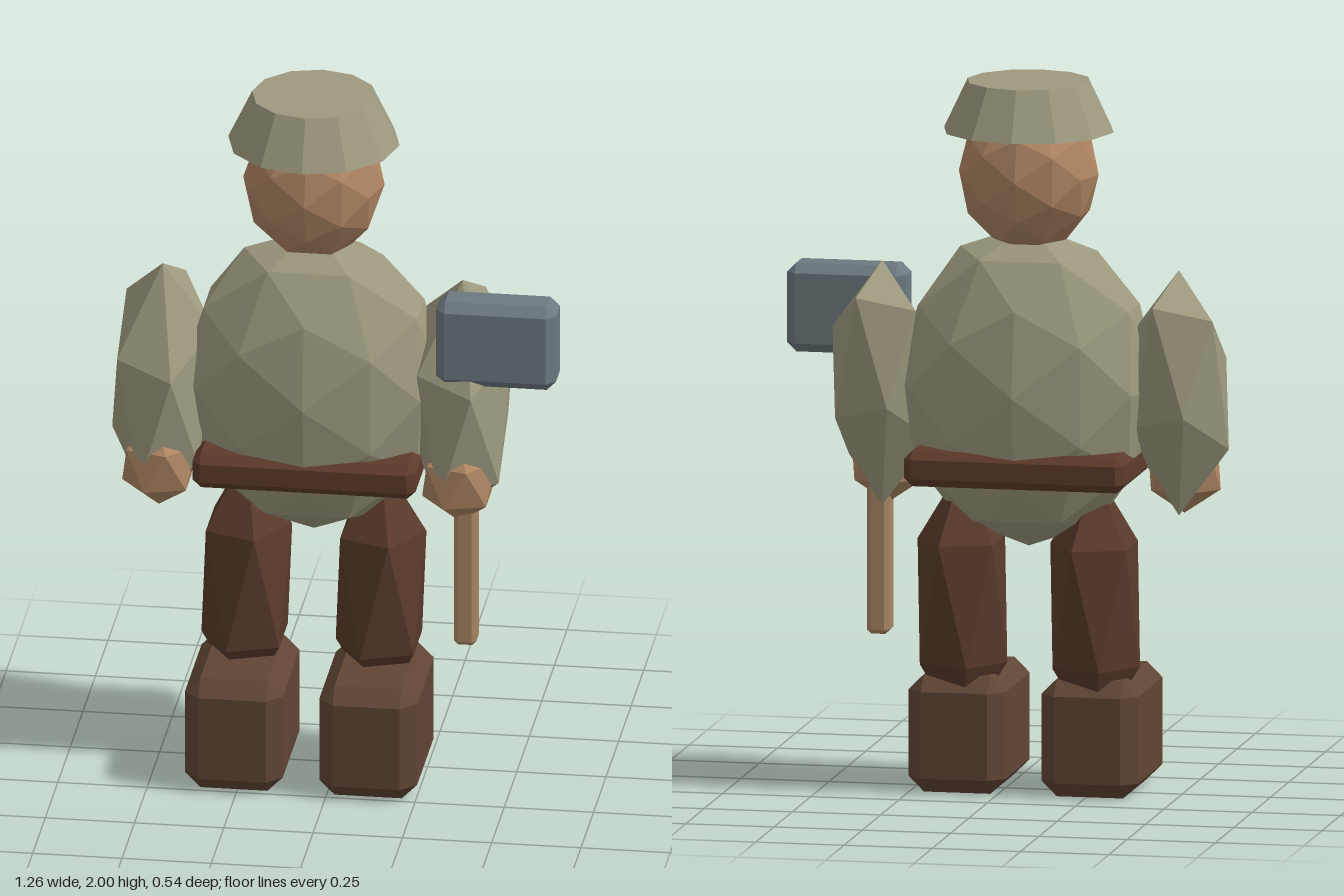
import * as THREE from 'three';
import { ConvexGeometry } from 'three/addons/geometries/ConvexGeometry.js';

const material = (name, color) => {
  const m = new THREE.MeshStandardMaterial({ color });
  m.name = name;
  return m;
};

// One normal per face
const faceted = (geometry) => {
  const g = geometry.index ? geometry.toNonIndexed() : geometry;
  g.computeVertexNormals();
  return g;
};

// Box with every edge and corner cut by c
const chamferBox = (w, h, d, c) => {
  const points = [];
  for (const x of [-w / 2, w / 2]) for (const y of [-h / 2, h / 2]) for (const z of [-d / 2, d / 2]) {
    const ix = x - Math.sign(x) * c, iy = y - Math.sign(y) * c, iz = z - Math.sign(z) * c;
    points.push(new THREE.Vector3(x, iy, iz), new THREE.Vector3(ix, y, iz), new THREE.Vector3(ix, iy, z));
  }
  return faceted(new ConvexGeometry(points));
};

// Faceted ellipsoid
const ball = (rx, ry, rz) => faceted(new THREE.IcosahedronGeometry(1, 1).scale(rx, ry, rz));

// Stretched icosahedron standing on a point; slope raises its back
const gem = (rx, ry, rz, slope = 0) => {
  const g = new THREE.IcosahedronGeometry(1, 0);
  g.rotateZ(-Math.atan(2 / (1 + Math.sqrt(5)))).scale(rx, ry, rz);
  const p = g.attributes.position;
  for (let i = 0; i < p.count; i++) p.setY(i, p.getY(i) - slope * p.getZ(i));
  return faceted(g);
};

export function createModel() {
  const cloth = material('khaki cloth', 0x9e9a7f);
  const skin = material('skin', 0xae8563);
  const trousers = material('brown trousers', 0x5a3b2c);
  const leather = material('boot leather', 0x604535);
  const strap = material('belt leather', 0x5e3b2b);
  const wood = material('wood', 0xa98765);
  const steel = material('steel', 0x6d7a80);

  const model = new THREE.Group();
  model.name = 'figure with hammer';
  const add = (name, geometry, mat, x, y, z) => {
    const mesh = new THREE.Mesh(geometry, mat);
    mesh.name = name;
    mesh.position.set(x, y, z);
    model.add(mesh);
  };

  const cx = -0.072, cz = -0.03; // body axis

  // Head, cap and trunk
  add('cap', faceted(new THREE.CylinderGeometry(0.173, 0.24, 0.14, 12)), cloth, cx, 1.93, cz);
  add('head', ball(0.198, 0.22, 0.198), skin, cx, 1.74, cz);
  add('torso', ball(0.37, 0.452, 0.24), cloth, cx, 1.142, cz);
  add('belt', chamferBox(0.625, 0.1, 0.44, 0.023), strap, cx, 0.93, cz);

  // Limbs repeat on both sides
  for (const [side, s] of [['left', 1], ['right', -1]]) {
    add(side + 'Arm', gem(0.158, 0.345, 0.18, 0.7), cloth, cx + s * 0.42, 1.13, -0.005);
    add(side + 'Hand', gem(0.115, 0.125, 0.106), skin, cx + s * 0.42, 0.905, 0.07);
    add(side + 'Leg', gem(0.142, 0.38, 0.165), trousers, cx + s * 0.188, 0.53, cz);
    add(side + 'Boot', chamferBox(0.274, 0.33, 0.417, 0.043), leather, cx + s * 0.188, 0.165, 0.062);
  }

  // Hammer held in the left hand
  add('hammerHandle', chamferBox(0.063, 0.9, 0.08, 0.012), wood, 0.368, 0.865, 0.062);
  add('hammerHead', chamferBox(0.336, 0.25, 0.127, 0.026), steel, 0.456, 1.328, 0.063);

  return model;
}
